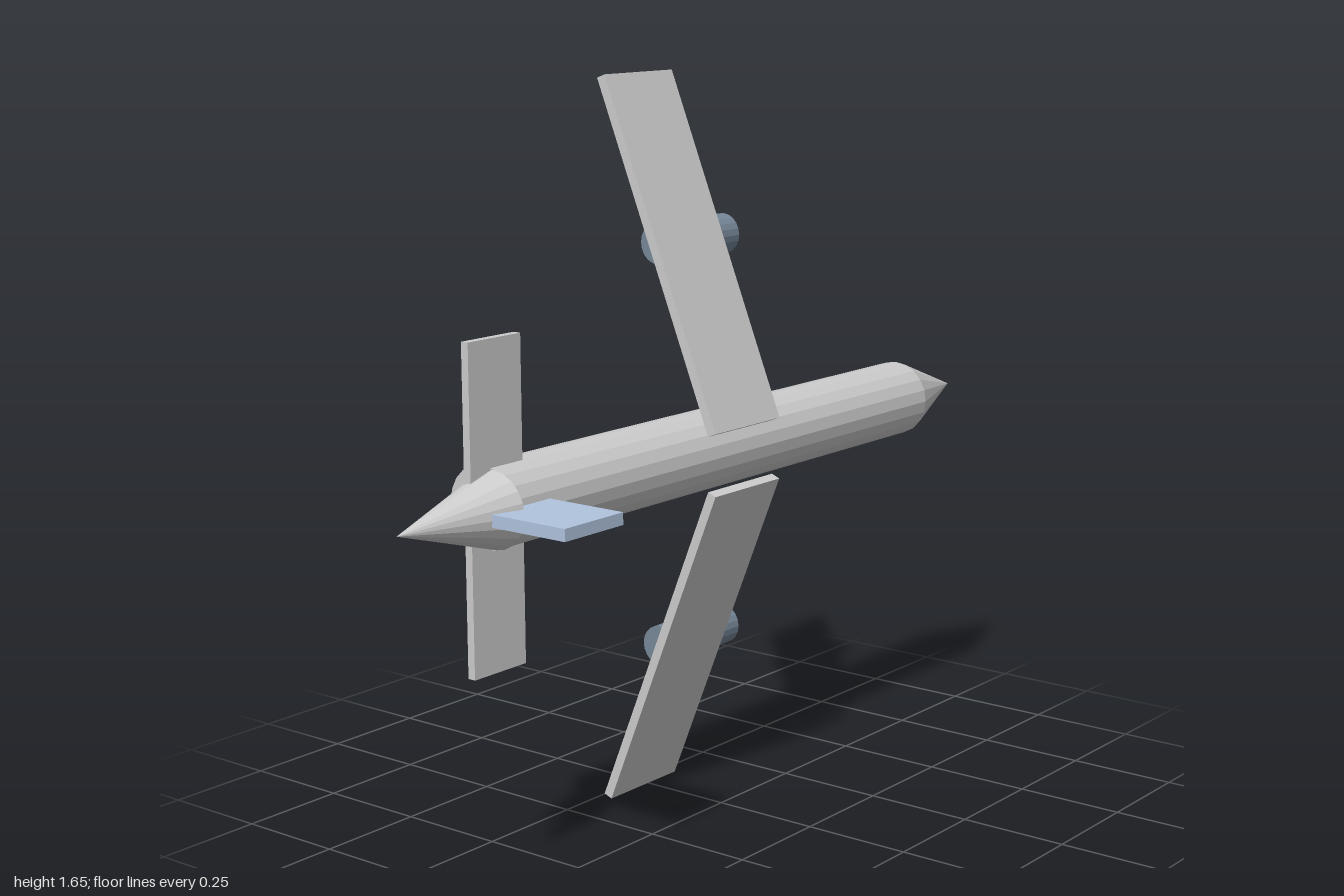
import * as THREE from 'three';

const MID = 0.829; // height of the fuselage axis
const SIDES = 20;

const material = (color) => new THREE.MeshStandardMaterial({ color, flatShading: true });

export function createModel() {
  const model = new THREE.Group();
  const white = material(0xf5f5f7);
  const blue = material(0xb0c4de);
  const slate = material(0x778899);

  const add = (name, geometry, mat, x, y, z) => {
    const mesh = new THREE.Mesh(geometry, mat);
    mesh.name = name;
    mesh.position.set(x, y, z);
    model.add(mesh);
    return mesh;
  };

  // Tapered round body lying along x, from x0 to x1
  const round = (name, mat, x0, x1, r0, r1, y, z) => {
    const g = new THREE.CylinderGeometry(r1, r0, x1 - x0, SIDES);
    g.rotateZ(-Math.PI / 2);
    return add(name, g, mat, (x0 + x1) / 2, y, z);
  };

  // Body with nose and offset tail cone
  round('fuselage', white, -0.727, 0.76, 0.089, 0.089, MID, -0.042);
  round('noseCone', white, 0.76, 1, 0.089, 0, MID, -0.042);
  round('tailCone', white, -1, -0.727, 0, 0.082, MID, -0.012);

  // Swept-back wings and engines, mirrored about the body axis
  for (const side of [1, -1]) {
    const label = side > 0 ? 'upper' : 'lower';
    const wing = add(label + 'Wing', new THREE.BoxGeometry(0.233, 0.816, 0.022), white,
      -0.017, MID + side * 0.444, -0.075);
    wing.rotation.x = -side * 0.382;
    round(label + 'Engine', slate, -0.067, 0.17, 0.046, 0.046, MID + side * 0.459, -0.126);
  }

  // Tail surfaces
  add('stabilizer', new THREE.BoxGeometry(0.152, 0.688, 0.018), white, -0.709, MID + 0.002, -0.028);
  add('tailFin', new THREE.BoxGeometry(0.174, 0.026, 0.207), blue, -0.71, MID, 0.1335);

  return model;
}
